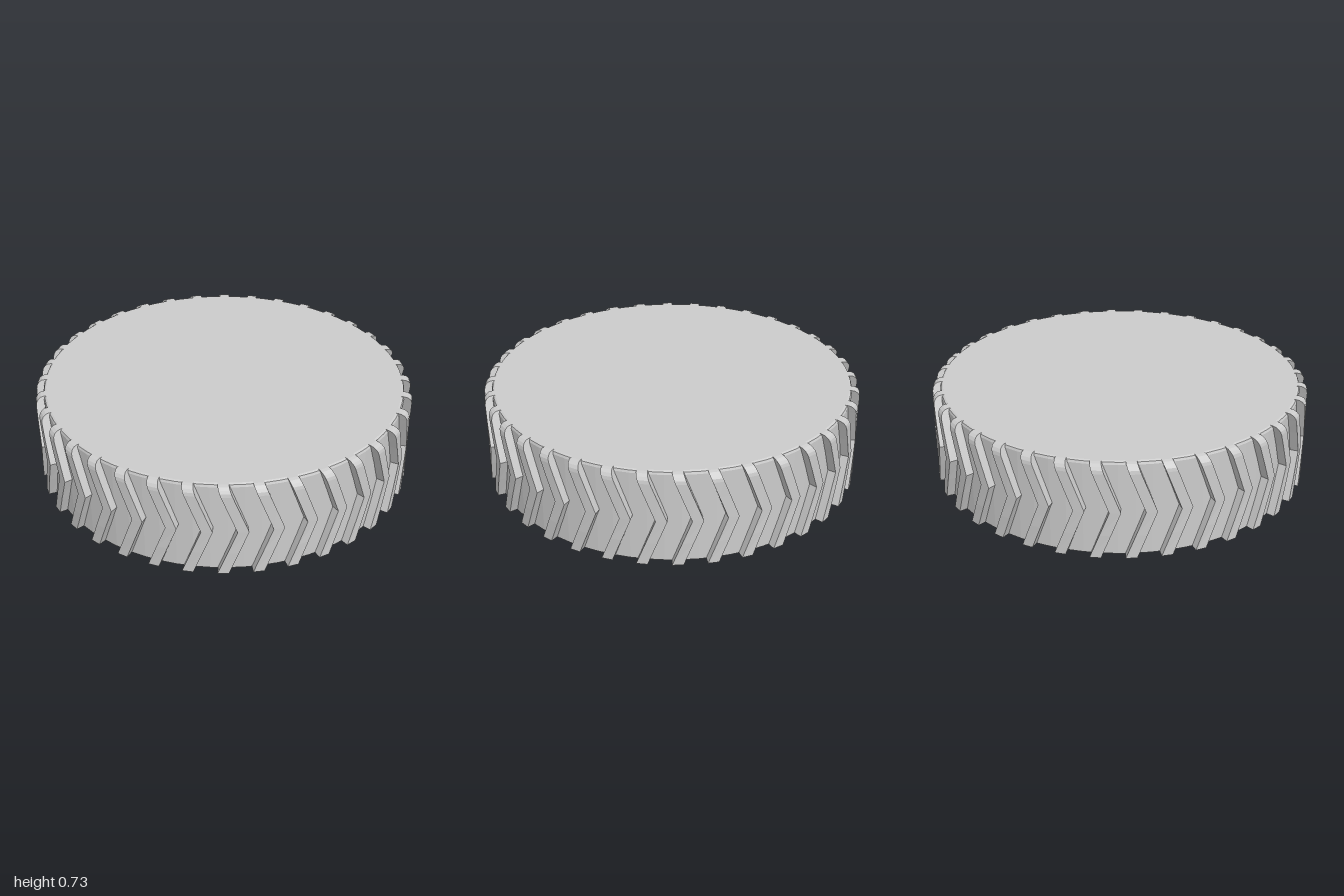
import * as THREE from 'three';

const BOTTOM = 0.22, TOP = 0.725, MID = 0.472;
const TEETH = 36;
const deg = Math.PI / 180;

const material = () => new THREE.MeshStandardMaterial({
  color: 0xcccccc, flatShading: true,
});

// One chevron tread block, lofted from cross-sections stacked upward
function chevronGeometry() {
  const outer = 1, inner = 0.94, fillet = 0.045;
  const apex = 4.3 * deg, slant = 5.5 * deg, half = 1.6 * deg;

  // Rows: [height, outer radius]; the upper outer edge is rounded
  const rows = [[BOTTOM, outer], [(BOTTOM + MID) / 2, outer], [MID, outer], [(MID + TOP) / 2, outer]];
  for (let i = 0; i <= 4; i++) {
    const a = (i / 4) * Math.PI / 2;
    rows.push([TOP - fillet + fillet * Math.sin(a), outer - fillet + fillet * Math.cos(a)]);
  }

  const positions = [], index = [];
  for (const [y, r] of rows) {
    const centre = apex - slant * Math.abs(y - MID) / (MID - BOTTOM);
    const corners = [[r, -half], [r, half], [inner, half], [inner, -half]];
    for (const [radius, offset] of corners) {
      const a = centre + offset;
      positions.push(radius * Math.sin(a), y, radius * Math.cos(a));
    }
  }
  for (let i = 0; i < rows.length - 1; i++) {
    for (let k = 0; k < 4; k++) {
      const a = i * 4 + k, b = i * 4 + (k + 1) % 4;
      index.push(a, b, b + 4, a, b + 4, a + 4);
    }
  }
  const t = (rows.length - 1) * 4;
  index.push(0, 2, 1, 0, 3, 2, t, t + 1, t + 2, t, t + 2, t + 3);

  const geometry = new THREE.BufferGeometry();
  geometry.setAttribute('position', new THREE.Float32BufferAttribute(positions, 3));
  geometry.setIndex(index);
  geometry.computeVertexNormals();
  return geometry;
}

export function createModel() {
  const group = new THREE.Group();
  group.name = 'treadedCap';

  // Hollow cap, open at the bottom
  const profile = [
    [0, 0.657], [0.87, 0.657], [0.87, BOTTOM], [0.957, BOTTOM],
    [0.957, 0.708], [0.952, 0.72], [0.942, TOP], [0, TOP],
  ].map(([x, y]) => new THREE.Vector2(x, y));
  const cap = new THREE.Mesh(new THREE.LatheGeometry(profile, 72), material());
  cap.name = 'capShell';
  group.add(cap);

  // Ring of chevron tread blocks
  const tread = new THREE.Group();
  tread.name = 'tread';
  const blockGeometry = chevronGeometry();
  const blockMaterial = material();
  for (let i = 0; i < TEETH; i++) {
    const block = new THREE.Mesh(blockGeometry, blockMaterial);
    block.name = 'treadBlock';
    block.rotation.y = (i / TEETH) * Math.PI * 2;
    tread.add(block);
  }
  group.add(tread);

  // Axle from the cap's ceiling down to the ground
  const length = 0.67;
  const axle = new THREE.Mesh(new THREE.CylinderGeometry(0.0625, 0.0625, length, 16), material());
  axle.name = 'axle';
  axle.position.y = length / 2;
  group.add(axle);

  return group;
}
